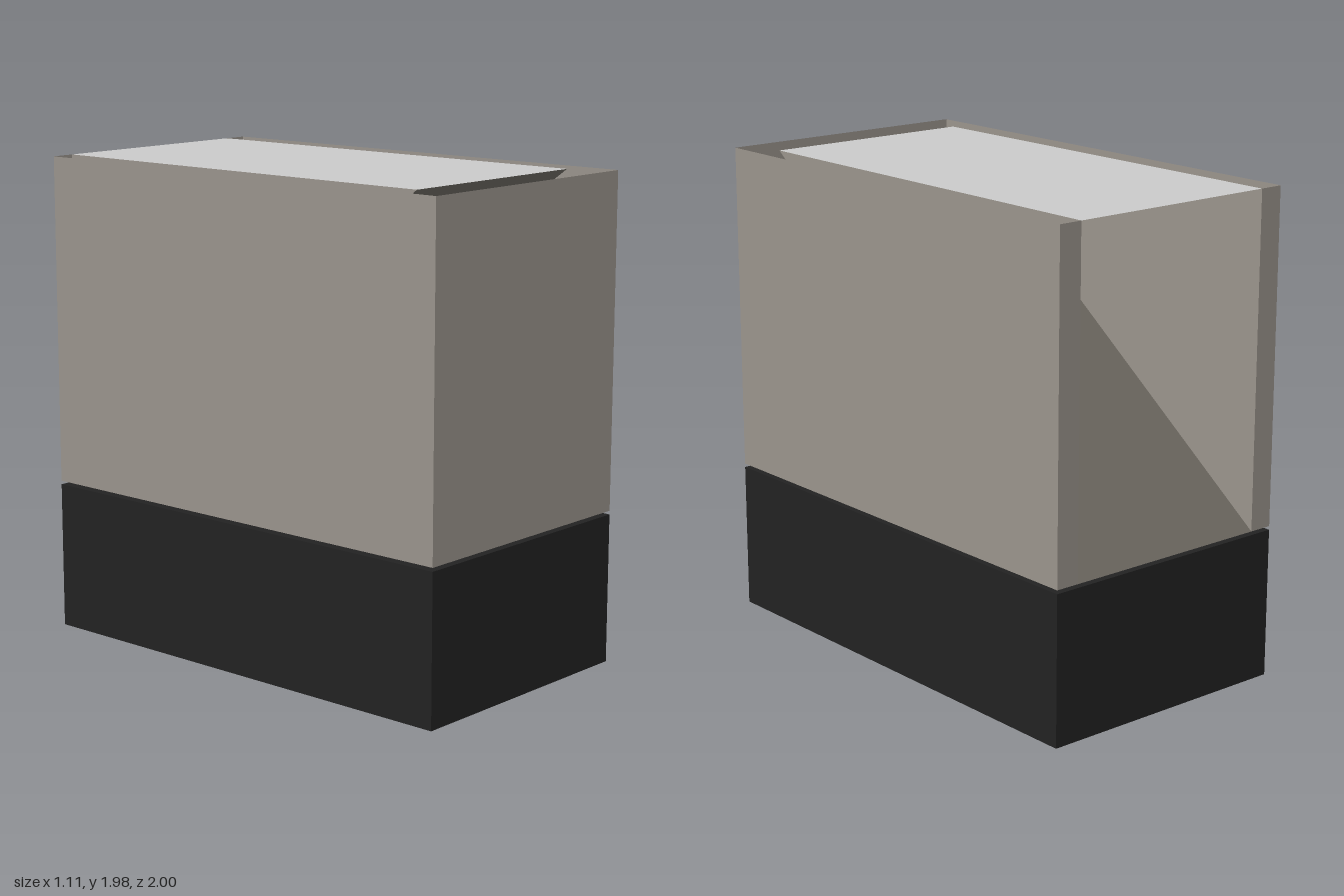
import * as THREE from 'three';

const material = (name, color) => new THREE.MeshStandardMaterial({ name, color, side: THREE.DoubleSide });

export function createModel() {
  const taupe = material('taupe', 0x9a948c);
  const darkTaupe = material('dark taupe', 0x6e6a62);
  const black = material('black', 0x222222);
  const grey = material('light grey', 0xc9c9c9);

  const W = 0.555, D = 1;              // half width and half depth
  const BASE = 0.61, LOW = 0.625, TOP = 1.98;
  const IN = 0.455, FRONT = 0.83;      // half width and front edge of the inner bin
  const model = new THREE.Group();

  // Flat sheet placed by centre, size and rotation
  function sheet(name, mat, w, h, [x, y, z], rx = 0, ry = 0, parent = model) {
    const mesh = new THREE.Mesh(new THREE.PlaneGeometry(w, h), mat);
    mesh.name = name;
    mesh.position.set(x, y, z);
    mesh.rotation.set(rx, ry, 0);
    parent.add(mesh);
  }

  // Plinth, open underneath
  const plinth = new THREE.Group();
  plinth.name = 'plinth';
  model.add(plinth);
  sheet('plinthTop', black, 2 * W, 2 * D, [0, BASE, 0], -Math.PI / 2, 0, plinth);
  sheet('plinthFront', black, 2 * W, BASE, [0, BASE / 2, D], 0, 0, plinth);
  sheet('plinthBack', black, 2 * W, BASE, [0, BASE / 2, -D], 0, Math.PI, plinth);

  // Outer casing, open at the top and back
  const h = TOP - LOW, mid = (TOP + LOW) / 2;
  const casing = new THREE.Group();
  casing.name = 'casing';
  model.add(casing);
  sheet('frontWall', taupe, 2 * W, h, [0, mid, D], 0, 0, casing);

  // Triangular cheek between the lid and the sloping floor
  const triangle = new THREE.Shape([
    new THREE.Vector2(D, LOW), new THREE.Vector2(D, TOP), new THREE.Vector2(-FRONT, TOP),
  ]);

  for (const [side, s] of [['left', 1], ['right', -1]]) {
    const turn = s * Math.PI / 2;
    sheet(side + 'PlinthSide', black, 2 * D, BASE, [s * W, BASE / 2, 0], 0, turn, plinth);
    sheet(side + 'Wall', taupe, 2 * D, h, [s * W, mid, 0], 0, turn, casing);
    sheet(side + 'BackFlange', taupe, W - IN, h, [s * (W + IN) / 2, mid, -D], 0, Math.PI, casing);
    const cheek = new THREE.Mesh(new THREE.ShapeGeometry(triangle), taupe);
    cheek.name = side + 'BinCheek';
    cheek.position.x = s * IN;
    cheek.rotation.y = Math.PI / 2;
    model.add(cheek);
  }

  // Flat lid and sloping floor of the inner bin
  const run = FRONT + D, centreZ = (FRONT - D) / 2;
  sheet('lid', grey, 2 * IN, run, [0, TOP, centreZ], -Math.PI / 2);
  sheet('slopingFloor', darkTaupe, 2 * IN, Math.hypot(run, h), [0, mid, centreZ], Math.atan2(run, h));

  return model;
}
